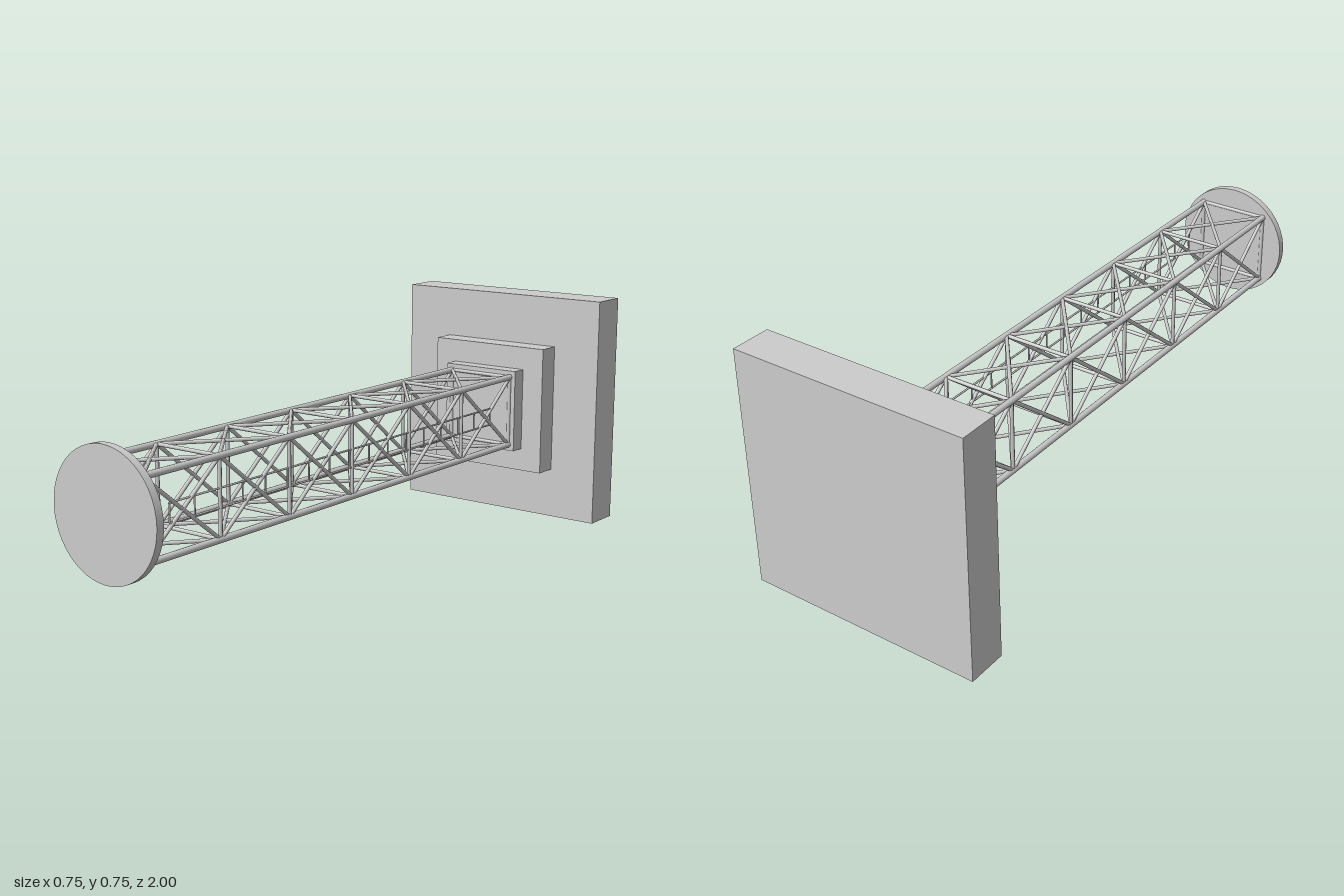
import * as THREE from 'three';

const material = new THREE.MeshStandardMaterial({ color: 0xcccccc });
const Y = 0.375; // height of the boom axis
const H = 0.115; // half spacing of the chords

function add(parent, name, geometry) {
  const mesh = new THREE.Mesh(geometry, material);
  mesh.name = name;
  parent.add(mesh);
  return mesh;
}

// round bar between two points
function bar(parent, name, a, b, radius, sides = 8) {
  const from = new THREE.Vector3(...a), to = new THREE.Vector3(...b);
  const dir = to.clone().sub(from);
  const mesh = add(parent, name, new THREE.CylinderGeometry(radius, radius, dir.length(), sides));
  mesh.position.copy(from).add(to).multiplyScalar(0.5);
  mesh.quaternion.setFromUnitVectors(new THREE.Vector3(0, 1, 0), dir.normalize());
  return mesh;
}

export function createModel() {
  const model = new THREE.Group();
  model.name = 'trussBoom';

  // stepped square mount at the back
  for (const [name, size, z0, z1] of [
    ['basePlate', 0.75, -1, -0.875],
    ['middleBlock', 0.422, -0.875, -0.8],
    ['innerBlock', 0.272, -0.8, -0.75],
  ]) {
    add(model, name, new THREE.BoxGeometry(size, size, z1 - z0)).position.set(0, Y, (z0 + z1) / 2);
  }

  // round end plate at the front
  const disc = add(model, 'endDisc', new THREE.CylinderGeometry(0.1875, 0.1875, 0.025, 48));
  disc.rotation.x = Math.PI / 2;
  disc.position.set(0, Y, 0.9875);

  // four chords
  const truss = new THREE.Group();
  truss.name = 'truss';
  model.add(truss);
  const zBack = -0.75, zFront = 0.975, bays = 6;
  const corners = [[H, H], [-H, H], [-H, -H], [H, -H]];
  for (const [x, y] of corners) bar(truss, 'chord', [x, Y + y, zBack], [x, Y + y, zFront], 0.01, 12);

  // struts around each joint and crossed braces on every side of each bay
  for (let i = 0; i <= bays; i++) {
    const z = zBack + (zFront - zBack) * i / bays;
    const next = z + (zFront - zBack) / bays;
    corners.forEach(([x0, y0], k) => {
      const [x1, y1] = corners[(k + 1) % 4];
      bar(truss, 'strut', [x0, Y + y0, z], [x1, Y + y1, z], 0.006);
      if (i === bays) return;
      bar(truss, 'brace', [x0, Y + y0, z], [x1, Y + y1, next], 0.006);
      bar(truss, 'brace', [x1, Y + y1, z], [x0, Y + y0, next], 0.006);
    });
  }

  // slim ladder along the left side
  const ladder = new THREE.Group();
  ladder.name = 'ladder';
  model.add(ladder);
  const l0 = -0.632, l1 = 0.88, rungs = 16;
  for (const s of [-1, 1]) {
    bar(ladder, 'ladderRail', [H, Y + s * 0.027, l0], [H, Y + s * 0.027, l1], 0.003);
  }
  for (let i = 0; i <= rungs; i++) {
    const z = l0 + (l1 - l0) * i / rungs;
    bar(ladder, 'rung', [H, Y - 0.027, z], [H, Y + 0.027, z], 0.0025);
  }
  return model;
}
